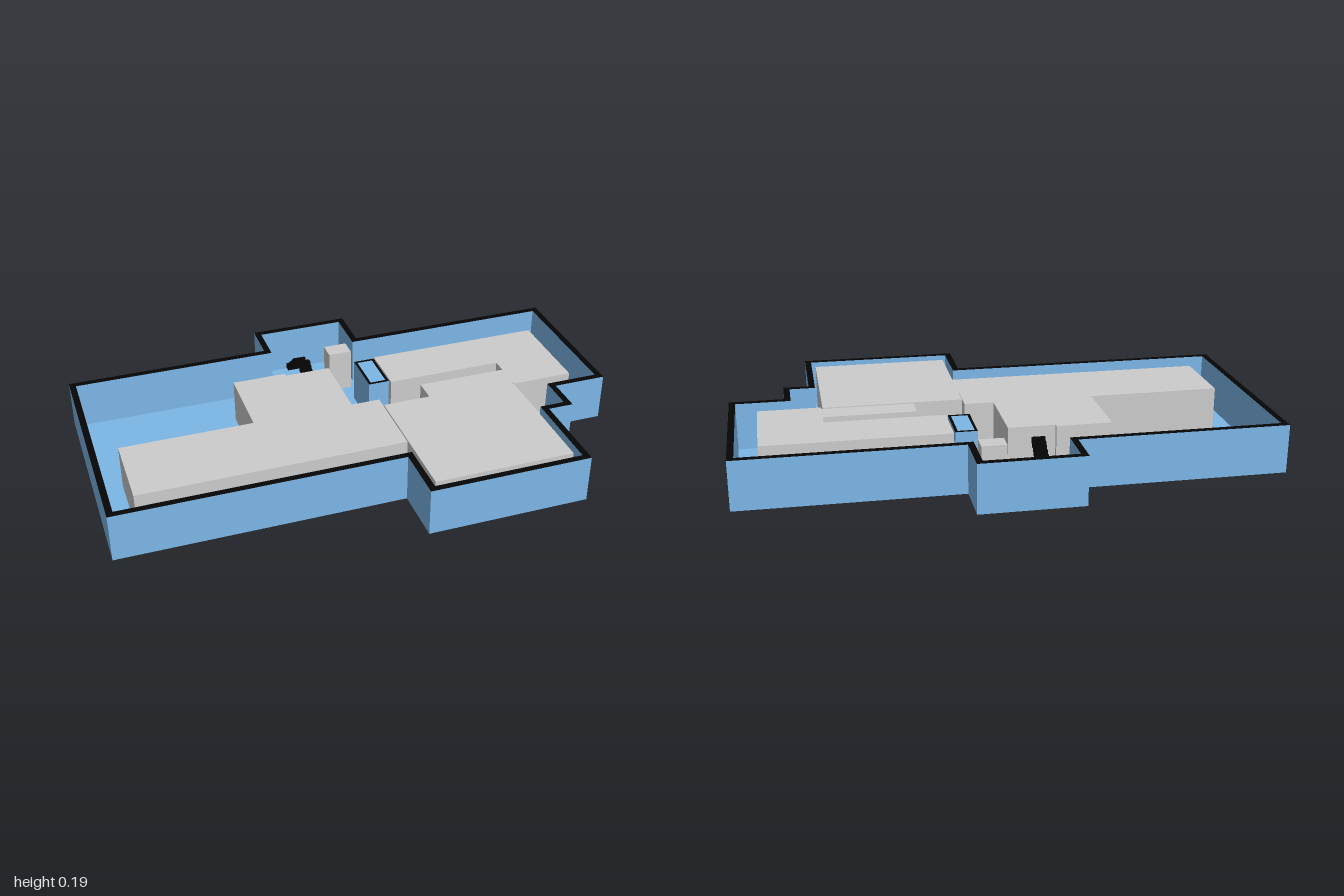
import * as THREE from 'three';

const blue = new THREE.MeshStandardMaterial({ color: 0x7cb6e6 });
const black = new THREE.MeshStandardMaterial({ color: 0x050505 });
const grey = new THREE.MeshStandardMaterial({ color: 0xcccccc });

const BASE = 0.004, FLOOR = 0.006, BLOCK_TOP = 0.177, WALL_TOP = 0.1895, CAP_TOP = 0.19;

// Plan outline, [x, z] pairs, clockwise seen from above
const outline = [
  [-1, -0.473], [-0.21, -0.473], [-0.21, -0.63], [0.178, -0.63], [0.178, -0.45],
  [1, -0.45], [1, 0.153], [0.792, 0.153], [0.792, 0.293], [0.693, 0.293],
  [0.693, 0.63], [0.076, 0.63], [0.076, 0.413], [-1, 0.413],
];

// Moves every side of a right-angled plan inwards by t
function inset(points, t) {
  const n = points.length;
  const normal = (a, b) => [-Math.sign(b[1] - a[1]), Math.sign(b[0] - a[0])];
  return points.map((p, i) => {
    const u = normal(points[(i + n - 1) % n], p);
    const v = normal(p, points[(i + 1) % n]);
    return [p[0] + t * (u[0] + v[0]), p[1] + t * (u[1] + v[1])];
  });
}

// Extrudes a clockwise plan upwards from y0 to y1; the hole runs the other way round
function slab(name, plan, y0, y1, material, hole) {
  const toVectors = (pts) => pts.map(([x, z]) => new THREE.Vector2(x, -z));
  const shape = new THREE.Shape(toVectors(plan));
  if (hole) shape.holes.push(new THREE.Path(toVectors(hole).reverse()));
  const geometry = new THREE.ExtrudeGeometry(shape, { depth: y1 - y0, bevelEnabled: false });
  geometry.rotateX(-Math.PI / 2).translate(0, y0, 0);
  const mesh = new THREE.Mesh(geometry, material);
  mesh.name = name;
  return mesh;
}

const rect = (x0, z0, x1, z1) => [[x0, z0], [x1, z0], [x1, z1], [x0, z1]];

// Dog-leg staircase: up towards the back, landing, then up towards the front
function createStairs() {
  const stairs = new THREE.Group();
  stairs.name = 'stairs';
  const left = -0.013, middle = -0.0615, right = -0.11;
  const back = -0.5, landing = -0.478, front = -0.385;
  const steps = 7, run = (front - landing) / steps;
  const rise = (BLOCK_TOP - FLOOR) / (2 * steps + 1);
  const tread = (name, plan, level) => {
    const top = FLOOR + level * rise;
    stairs.add(slab(name, plan, Math.max(FLOOR, top - 2 * rise), top, black));
  };
  for (let i = 0; i < steps; i++) {
    const zUp = front - (i + 1) * run, zReturn = landing + i * run;
    tread('lowerStep', rect(middle, zUp, left, zUp + run), i + 1);
    tread('upperStep', rect(right, zReturn, middle, zReturn + run), steps + 2 + i);
  }
  tread('landing', rect(right, back, left, landing), steps + 1);
  return stairs;
}

export function createModel() {
  const model = new THREE.Group();
  model.name = 'floorPlan';

  // Floor, perimeter walls and their dark caps
  const inner = inset(outline, 0.024);
  model.add(
    slab('floor', inner, BASE, FLOOR, blue),
    slab('outerWalls', outline, BASE, WALL_TOP, blue, inner),
    slab('wallCap', outline, WALL_TOP, CAP_TOP, black, inner),
  );

  // Solid room blocks
  model.add(
    slab('leftRooms', [
      [-0.385, -0.295], [-0.175, -0.295], [-0.175, -0.28], [0.003, -0.28], [0.003, 0.005],
      [0.115, 0.005], [0.115, 0.307], [-0.892, 0.307], [-0.892, 0.005], [-0.385, 0.005],
    ], FLOOR, BLOCK_TOP, grey),
    slab('rightRooms', [
      [0.203, -0.3], [0.896, -0.3], [0.896, 0.068], [0.656, 0.068], [0.656, 0.05],
      [0.305, 0.05], [0.305, -0.043], [0.656, -0.043], [0.656, -0.1], [0.203, -0.1],
    ], FLOOR, BLOCK_TOP, grey),
    slab('frontRoom', rect(0.117, 0.052, 0.652, 0.572), FLOOR, BLOCK_TOP + 0.003, grey),
    slab('smallPillar', rect(0.037, -0.445, 0.13, -0.375), FLOOR, BLOCK_TOP, grey),
  );

  // Lift shaft with a dark rim
  const shaft = rect(0.115, -0.29, 0.197, -0.11);
  model.add(
    slab('shaft', shaft, 0, BLOCK_TOP, blue),
    slab('shaftRim', shaft, BLOCK_TOP, BLOCK_TOP + 0.001, black, inset(shaft, 0.01)),
  );

  model.add(createStairs());
  return model;
}
